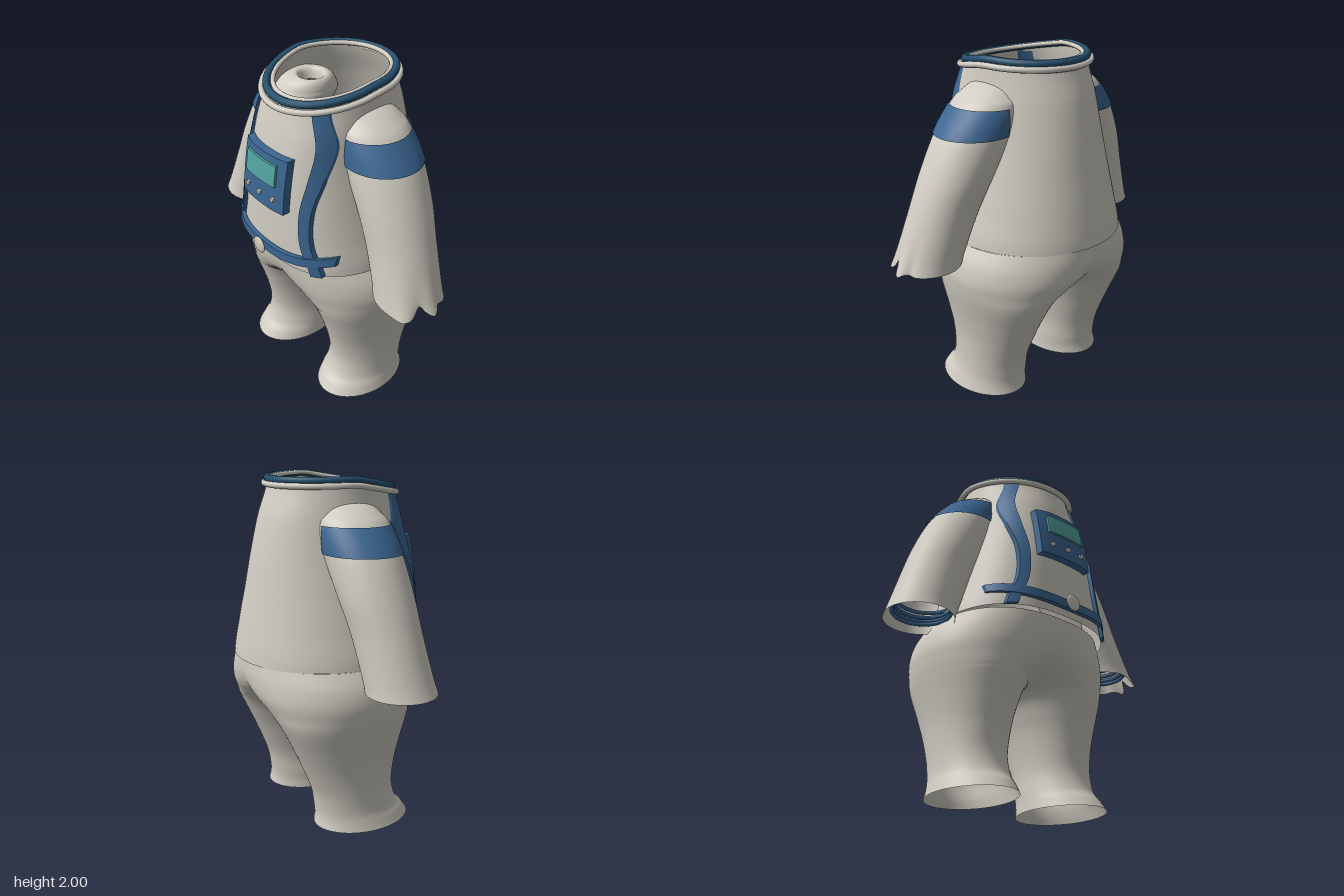
import * as THREE from 'three';
import { mergeVertices, mergeGeometries } from 'three/addons/utils/BufferGeometryUtils.js';

const mat = (name, color) => {
  const m = new THREE.MeshStandardMaterial({ color, side: THREE.DoubleSide });
  m.name = name;
  return m;
};

// Smooth interpolation through evenly numbered rows of values
function sample(keys, u) {
  const last = keys.length - 1;
  const i = Math.min(Math.floor(u), last - 1), t = u - i;
  const row = k => keys[Math.max(0, Math.min(last, k))];
  return keys[0].map((_, c) => {
    const [a, b, d, e] = [row(i - 1)[c], row(i)[c], row(i + 1)[c], row(i + 2)[c]];
    return b + 0.5 * t * (d - a + t * (2 * a - 5 * b + 4 * d - e + t * (3 * (b - d) + e - a)));
  });
}

// Skin a grid of points; rows run upward, columns run from +x towards +z
function loft(rows, cols, point, mirror = false) {
  const pos = [], idx = [], w = cols + 1;
  for (let i = 0; i <= rows; i++) {
    for (let j = 0; j <= cols; j++) {
      const [x, y, z] = point(i / rows, j / cols);
      pos.push(mirror ? -x : x, y, z);
    }
  }
  for (let i = 0; i < rows; i++) {
    for (let j = 0; j < cols; j++) {
      const a = i * w + j, b = a + w;
      if (mirror) idx.push(a, a + 1, b, a + 1, b + 1, b);
      else idx.push(a, b, a + 1, a + 1, b, b + 1);
    }
  }
  const g = new THREE.BufferGeometry();
  g.setAttribute('position', new THREE.Float32BufferAttribute(pos, 3));
  g.setIndex(idx);
  return g;
}
const smooth = g => {
  const m = mergeVertices(g, 1e-4);
  m.computeVertexNormals();
  return m;
};
const spow = (v, p) => Math.sign(v) * Math.abs(v) ** p;

// Torso rows, evenly spaced upward: half width, z centre, half depth, front squareness
const TORSO = [
  [0.515, -0.03, 0.52, 2.6], [0.468, -0.018, 0.503, 2.6], [0.42, -0.004, 0.48, 2.6],
  [0.375, 0.004, 0.452, 2.6], [0.342, 0.01, 0.412, 2.5], [0.315, 0.02, 0.358, 2.1],
];
const WAIST = 0.98;
const tilt = z => (z > 0 ? -0.18 * z : 0.02 * z);

function torsoPoint(v, s) {
  const [rx, zc, rz, nf] = sample(TORSO, v * 5), a = s * Math.PI * 2;
  const n = Math.sin(a) > 0 ? nf : 2;
  const z = zc + rz * spow(Math.sin(a), 2 / n);
  return [rx * spow(Math.cos(a), 2 / n), WAIST + v * (1.975 + tilt(z) - WAIST), z];
}
function frontZ(x, y) {
  const v = Math.max(0, Math.min(1, (y - WAIST) / 0.93));
  const [rx, zc, rz, n] = sample(TORSO, v * 5);
  return zc + rz * Math.max(0, 1 - Math.min(1, Math.abs(x) / rx) ** n) ** (1 / n);
}

// Trouser rows: y, leg centre x, half width, z centre, half depth, front squareness
const PANTS = [
  [0, 0.32, 0.217, 0.06, 0.297, 2], [0.05, 0.315, 0.207, 0.047, 0.276, 2],
  [0.11, 0.31, 0.198, 0.022, 0.254, 2], [0.22, 0.31, 0.194, 0, 0.252, 2],
  [0.36, 0.305, 0.207, -0.018, 0.288, 2], [0.5, 0.3, 0.235, -0.03, 0.338, 2],
  [0.64, 0.283, 0.283, -0.04, 0.395, 2], [0.72, 0.215, 0.365, -0.045, 0.43, 2.1],
  [0.8, 0.13, 0.455, -0.05, 0.467, 2.2], [0.89, 0.045, 0.52, -0.05, 0.49, 2.3],
  [WAIST, 0, 0.515, -0.045, 0.497, 2.4],
];
function pantsPoint(v, s) {
  const [y, cx, rx, zc, rz, nf] = sample(PANTS, v * 10);
  // Above the crotch each half stops at the centre plane
  const reach = n => Math.acos(-(Math.min(1, Math.max(0, cx / rx)) ** (n / 2)));
  const front = s > 0.5, n = front ? nf : 2;
  const a = (s * 2 - 1) * reach(n);
  return [cx + rx * spow(Math.cos(a), 2 / n), y, zc + rz * spow(Math.sin(a), 2 / n)];
}

// Sleeve rows: y, inner x, outer x, z centre, half depth; the top curls into a hole
const ARM = [
  [0.9, 0.515, 0.9, 0.07, 0.195], [0.98, 0.49, 0.868, 0.062, 0.19], [1.2, 0.4, 0.79, 0.04, 0.19],
  [1.4, 0.3, 0.712, 0.02, 0.205], [1.605, 0.17, 0.612, 0.005, 0.21], [1.75, 0.085, 0.5, 0, 0.2],
  [1.8, 0.08, 0.44, 0, 0.172], [1.84, 0.09, 0.37, 0, 0.138], [1.86, 0.11, 0.31, 0, 0.095],
  [1.85, 0.13, 0.28, 0, 0.07], [1.8, 0.15, 0.26, 0, 0.055],
];
function armPoint(u, a, grow = 0, crumple = false) {
  let [y, x0, x1, zc, rz] = sample(ARM, u);
  let r = 1;
  if (crumple && u < 2) {
    // Folded, uneven cuff
    const t = (1 - u / 2) ** 1.5, bump = (c, w) => Math.exp(-(((a - c) / w) ** 2));
    r += t * (0.07 * bump(0, 0.15) - 0.2 * bump(0.4, 0.2) + 0.08 * bump(0.9, 0.2) - 0.1 * bump(-0.35, 0.15));
    y -= t * (0.03 * bump(0.9, 0.5) - 0.05 * bump(0.4, 0.15) + 0.02 * bump(0, 0.12));
  }
  const rx = (x1 - x0) / 2 + grow;
  return [(x0 + x1) / 2 + r * rx * Math.cos(a), y, zc + r * (rz + grow) * Math.sin(a)];
}

// Closed tube through an oval of points
function ring(point, radius) {
  const pts = Array.from({ length: 40 }, (_, i) => new THREE.Vector3(...point((i / 40) * Math.PI * 2)));
  return new THREE.TubeGeometry(new THREE.CatmullRomCurve3(pts, true), 96, radius, 10, true);
}
const neckRing = (rx, rz, zc, y, r) => ring(a => {
  const z = zc + rz * Math.sin(a);
  return [rx * Math.cos(a), y + tilt(z), z];
}, r);

// Box laid over the chest; place() shifts each point sideways or upward first
function drape(w, h, d, sx, sy, lift, place) {
  const g = new THREE.BoxGeometry(w, h, d, sx, sy, 1), p = g.attributes.position;
  for (let i = 0; i < p.count; i++) {
    const [x, y] = place(p.getX(i), p.getY(i));
    p.setXYZ(i, x, y, frontZ(x, y) + lift + p.getZ(i));
  }
  g.computeVertexNormals();
  return g;
}

export function createModel() {
  const cloth = mat('off-white cloth', 0xd0ccc2), blue = mat('blue trim', 0x3b6692);
  const navy = mat('dark blue seal', 0x24506e), teal = mat('teal screen', 0x52a3a0);
  const model = new THREE.Group();
  model.name = 'spaceSuit';
  const add = (name, geo, material, parent = model) => {
    const m = new THREE.Mesh(geo, material);
    m.name = name;
    parent.add(m);
    return m;
  };

  // Body
  add('torso', smooth(loft(40, 96, torsoPoint)), cloth);
  add('trousers', smooth(mergeGeometries([loft(80, 64, pantsPoint), loft(80, 64, pantsPoint, true)])), cloth);

  // Neck opening
  add('collarRing', neckRing(0.345, 0.382, 0.025, 1.952, 0.017), cloth);
  add('neckSeal', neckRing(0.315, 0.36, 0.02, 1.979, 0.021), navy);
  add('neckInnerLip', neckRing(0.286, 0.33, 0.015, 1.982, 0.013), cloth);

  // Arms
  for (const side of [1, -1]) {
    const arm = new THREE.Group(), left = side > 0, flip = !left;
    arm.name = left ? 'leftArm' : 'rightArm';
    model.add(arm);
    const angle = s => (s * 2 - 1) * Math.PI;
    add('sleeve', smooth(loft(80, 80, (v, s) => armPoint(v * 10, angle(s), 0, left), flip)), cloth, arm);
    add('shoulderBand', smooth(loft(10, 64, (v, s) => {
      const [x, y, z] = armPoint(4 + v, angle(s), 0.009);
      return [Math.max(0.335, x), y, z];
    }, flip)), blue, arm);
    for (let i = 0; i < 4; i++) {
      add('cuffRib', ring(a => {
        const [x, y, z] = armPoint(0.8 + i * 0.17, a, -0.03);
        return [side * x, y, z];
      }, 0.011), blue, arm);
    }
  }

  // Harness straps and belt
  const STRAP = [[0.353], [0.288], [0.272], [0.288], [0.29], [0.235]];
  for (const side of [1, -1]) {
    add('strap', drape(0.052, 0.92, 0.03, 4, 48, 0.012, (x, y) =>
      [side * sample(STRAP, (y / 0.92 + 0.5) * 5)[0] + x, y + 1.44]), blue);
  }
  add('belt', drape(0.86, 0.052, 0.026, 48, 1, 0.02, (x, y) =>
    [x - 0.01, y + 1.045 + 0.04 * (x / 0.43) ** 2]), blue);
  const buckle = add('buckle', new THREE.SphereGeometry(0.05, 32, 16), cloth);
  buckle.scale.z = 0.26;
  buckle.position.set(-0.01, 1.05, 0.543);

  // Chest control panel
  const at = (cx, cy) => (x, y) => [x + cx, y + cy];
  add('chestPanel', drape(0.365, 0.31, 0.06, 16, 8, 0.013, at(-0.01, 1.485)), blue);
  add('screen', drape(0.255, 0.12, 0.02, 12, 4, 0.045, at(-0.012, 1.54)), teal);
  for (const x of [-0.12, -0.01, 0.1]) {
    const knob = add('knob', new THREE.CylinderGeometry(0.014, 0.014, 0.02, 10), cloth);
    knob.rotation.x = Math.PI / 2;
    knob.position.set(x, 1.4, frontZ(x, 1.4) + 0.045);
  }
  return model;
}
